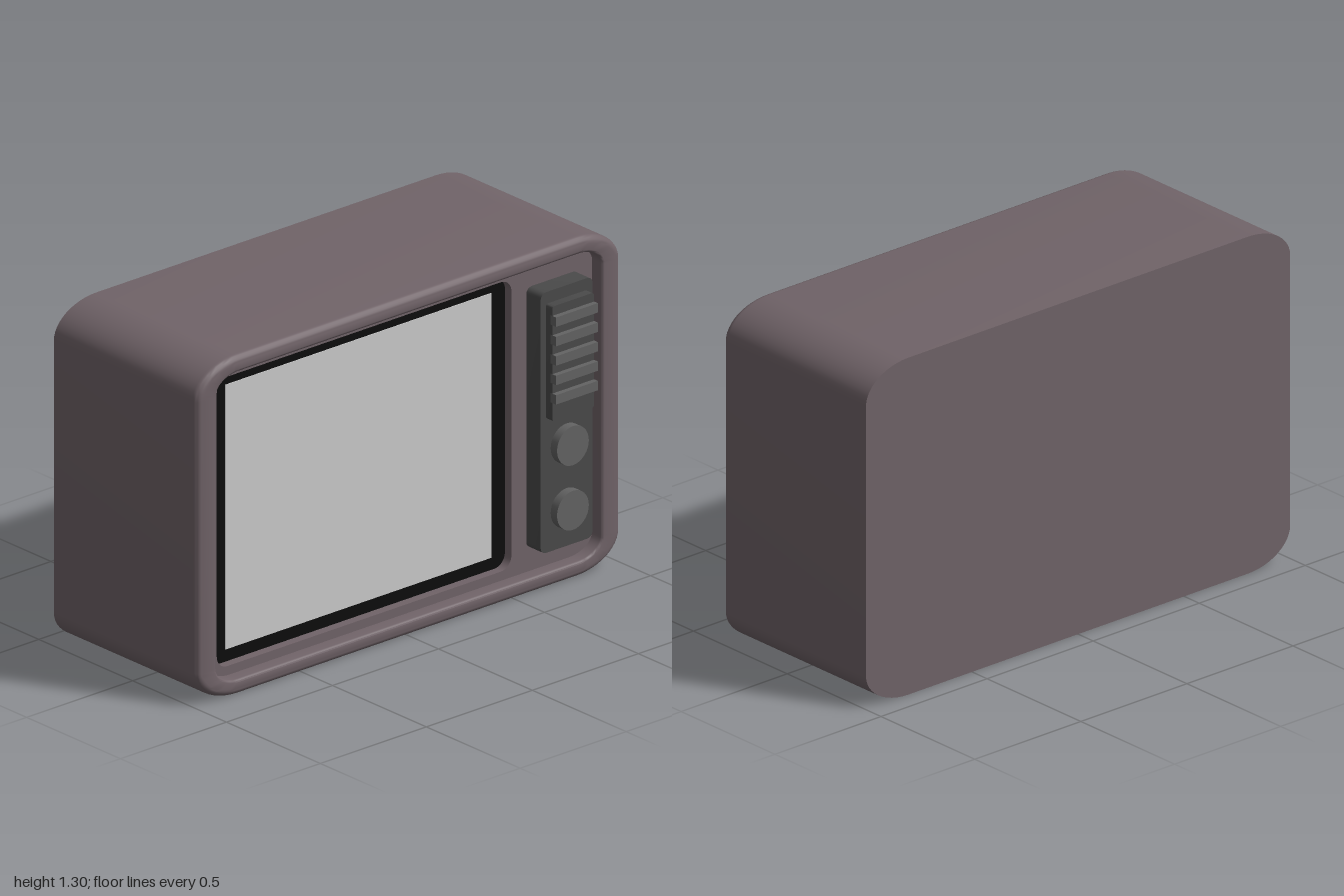
import * as THREE from 'three';
import { toCreasedNormals } from 'three/addons/utils/BufferGeometryUtils.js';

const MID_Y = 0.65;
const paint = (color) => new THREE.MeshStandardMaterial({ color });

// Closed outline with elliptical corners, counter-clockwise in (u, y) where u = -z
function outline(u0, u1, y0, y1, ru, ry, n = 12) {
  const centres = [[u1 - ru, y1 - ry], [u0 + ru, y1 - ry], [u0 + ru, y0 + ry], [u1 - ru, y0 + ry]];
  const points = [];
  centres.forEach(([cu, cy], k) => {
    for (let i = 0; i <= n; i++) {
      const a = (k + i / n) * Math.PI / 2;
      points.push(new THREE.Vector2(cu + ru * Math.cos(a), cy + ry * Math.sin(a)));
    }
  });
  return points;
}

// Plate lying across the x axis, from x0 to x1, with an optional hole
function plate(points, x0, x1, hole) {
  const shape = new THREE.Shape(points);
  if (hole) shape.holes.push(new THREE.Path(hole));
  const geo = new THREE.ExtrudeGeometry(shape, { depth: x1 - x0, bevelEnabled: false });
  geo.translate(0, 0, x0).rotateY(Math.PI / 2);
  return toCreasedNormals(geo, 0.6);
}

// Cabinet skin: closed back, side walls, rounded rim and the wall of the recess
function cabinetShell() {
  const ring = (x, dz, dy) => outline(dz - 1, 1 - dz, dy, 2 * MID_Y - dy, 0.2 - dz, 0.13 - dy)
    .map((p) => [x, p.y, -p.x]);
  const rings = [ring(-0.42, 0, 0).map(() => [-0.42, MID_Y, 0]), ring(-0.42, 0, 0)];
  const r = 0.028, lip = 0.01;
  for (let i = 0; i <= 6; i++) {
    const a = i / 6 * Math.PI / 2, d = r * (1 - Math.cos(a));
    rings.push(ring(0.345 - r + r * Math.sin(a), d, d));
  }
  for (let i = 0; i <= 3; i++) {
    const a = i / 3 * Math.PI / 2, d = lip * (1 - Math.sin(a));
    rings.push(ring(0.345 - lip + lip * Math.cos(a), 0.09 - d, 0.06 - d));
  }
  rings.push(ring(0.285, 0.09, 0.06));

  const n = rings[0].length, index = [];
  for (let i = 0; i < rings.length - 1; i++) {
    for (let j = 0; j < n; j++) {
      const k = (j + 1) % n;
      const a = i * n + j, b = i * n + k, c = b + n, d = a + n;
      if (i > 0) index.push(a, b, c);
      index.push(a, c, d);
    }
  }
  const geo = new THREE.BufferGeometry();
  geo.setAttribute('position', new THREE.Float32BufferAttribute(rings.flat(2), 3));
  geo.setIndex(index);
  return toCreasedNormals(geo, 0.7);
}

export function createModel() {
  const model = new THREE.Group();
  model.name = 'television';
  const cabinet = paint(0x706368), black = paint(0x0d0d0d), glass = paint(0xcccccc);
  const dark = paint(0x4a4a4a), mid = paint(0x636363);

  const add = (name, geo, material, parent = model) => {
    const mesh = new THREE.Mesh(geo, material);
    mesh.name = name;
    parent.add(mesh);
    return mesh;
  };

  // Cabinet and the recessed front board with its screen opening
  add('cabinet', cabinetShell(), cabinet);
  const opening = outline(-0.86, 0.53, 0.095, 1.205, 0.05, 0.05, 8);
  add('frontBoard', plate(outline(-0.91, 0.91, 0.06, 1.24, 0.11, 0.07), 0.25, 0.29, opening), cabinet);

  // Screen with black surround
  add('screenSurround', plate(opening, 0.235, 0.255), black);
  add('screen', new THREE.BoxGeometry(0.02, 1.015, 1.255).translate(0.248, 0.65, 0.1625), glass);

  // Control panel
  const controls = new THREE.Group();
  controls.name = 'controls';
  model.add(controls);
  add('controlPanel', plate(outline(0.6, 0.845, 0.15, 1.15, 0.025, 0.025, 4), 0.28, 0.366), dark, controls);

  // Speaker block with ribs
  add('speaker', plate(outline(0.625, 0.822, 0.663, 1.105, 0.012, 0.012, 3), 0.36, 0.4), dark, controls);
  for (let i = 0; i < 5; i++) {
    const rib = add('speakerRib', new THREE.BoxGeometry(0.03, 0.036, 0.197), mid, controls);
    rib.position.set(0.405, 1.052 - i * 0.0745, -0.7235);
  }

  // Two dials
  for (const y of [0.545, 0.297]) {
    const dial = add('dial', new THREE.CylinderGeometry(0.075, 0.075, 0.04, 32), mid, controls);
    dial.rotation.z = -Math.PI / 2;
    dial.position.set(0.38, y, -0.7225);
  }
  return model;
}
